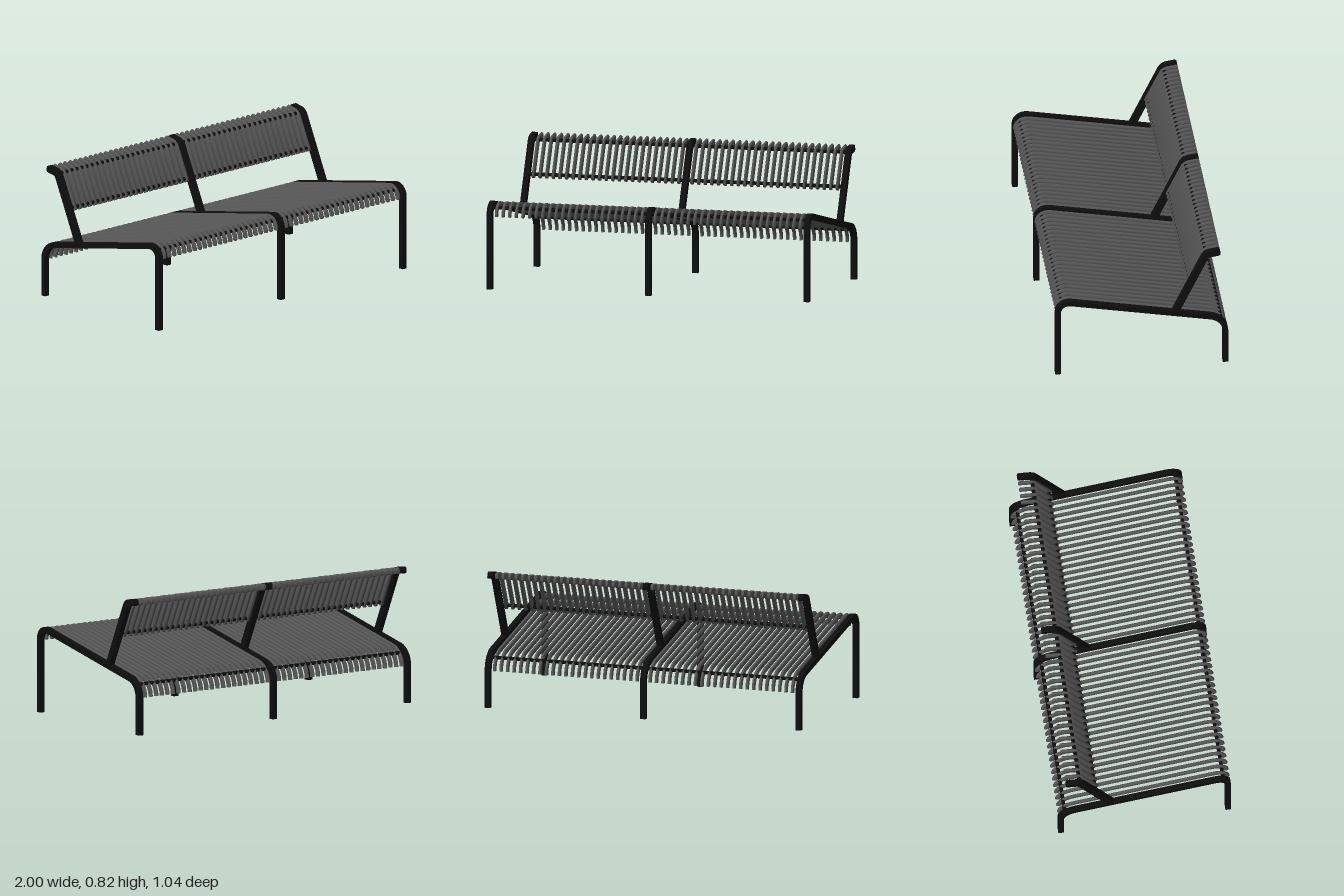
import * as THREE from 'three';
import { toCreasedNormals } from 'three/addons/utils/BufferGeometryUtils.js';

const BAY = 0.983;            // distance between frames
const SLATS = 23;             // slats in each bay
const TUBE = 0.033;           // frame tube width
const POST = 0.041;           // backrest post depth
const FRONT = 0.503, REAR = -0.503;

// Rounds the inner corners of a side-view polyline of [z, y, radius] points.
function filletPath(corners, steps = 8) {
  const out = [];
  corners.forEach(([z, y, r], i) => {
    const p = new THREE.Vector2(z, y);
    if (!r) { out.push(p); return; }
    const a = new THREE.Vector2(...corners[i - 1].slice(0, 2)).sub(p).normalize();
    const b = new THREE.Vector2(...corners[i + 1].slice(0, 2)).sub(p).normalize();
    const half = Math.acos(a.dot(b)) / 2;
    const centre = a.clone().add(b).normalize().multiplyScalar(r / Math.sin(half)).add(p);
    const start = a.multiplyScalar(r / Math.tan(half)).add(p).sub(centre);
    const end = b.multiplyScalar(r / Math.tan(half)).add(p).sub(centre);
    const turn = Math.atan2(start.cross(end), start.dot(end));
    for (let k = 0; k <= steps; k++) {
      out.push(start.clone().rotateAround(new THREE.Vector2(), turn * k / steps).add(centre));
    }
  });
  return out;
}

// Sweeps a closed [x, depth] section along a side-view path and caps both ends.
// A rounded end shrinks the depth over the last short step.
function sweep(path, section, { roundStart = 0, roundEnd = 0 } = {}) {
  const pts = path.map((p) => ({ p, s: 1 }));
  const inset = (from, to, d) => from.clone().add(to.clone().sub(from).setLength(d));
  if (roundStart) {
    pts[0].s = 0.6;
    pts.splice(1, 0, { p: inset(path[0], path[1], roundStart), s: 1 });
  }
  if (roundEnd) {
    const n = path.length;
    pts[pts.length - 1].s = 0.6;
    pts.splice(pts.length - 1, 0, { p: inset(path[n - 1], path[n - 2], roundEnd), s: 1 });
  }
  const m = section.length, pos = [], index = [];
  pts.forEach(({ p, s }, i) => {
    const t = pts[Math.min(i + 1, pts.length - 1)].p.clone().sub(pts[Math.max(i - 1, 0)].p).normalize();
    section.forEach(([x, d]) => pos.push(x, p.y + t.x * d * s, p.x - t.y * d * s));
  });
  for (let i = 0; i < pts.length - 1; i++) {
    for (let j = 0; j < m; j++) {
      const a = i * m + j, b = i * m + (j + 1) % m;
      index.push(a, b, a + m, b, b + m, a + m);
    }
  }
  const last = (pts.length - 1) * m;
  for (let j = 1; j < m - 1; j++) {
    index.push(0, j + 1, j, last, last + j, last + j + 1);
  }
  const geo = new THREE.BufferGeometry();
  geo.setAttribute('position', new THREE.Float32BufferAttribute(pos, 3));
  geo.setIndex(index);
  return toCreasedNormals(geo, 1.0);
}

// Section outlines, counter-clockwise so that the swept walls face outwards.
function boxSection(w, d) {
  return [[-w / 2, -d / 2], [w / 2, -d / 2], [w / 2, d / 2], [-w / 2, d / 2]];
}
// Flat bar with half-round edges
function barSection(w, d, n = 6) {
  const edge = (sign) => Array.from({ length: n + 1 }, (_, i) => {
    const a = i / n * Math.PI;
    return [sign * Math.cos(a) * w / 2, sign * (Math.sin(a) * w / 2 + (d - w) / 2)];
  });
  return [...edge(1), ...edge(-1)];
}

// Side profile of the seat, with chosen heights for its front and rear ends.
const seatPath = (frontY, rearY) => filletPath([
  [FRONT, frontY], [FRONT, 0.52, 0.063], [REAR, 0.314, 0.11], [REAR, rearY],
]);

// Side profile of the backrest, with its rolled top.
const backPath = (z, y) => filletPath([[z, y], [-0.387, 0.784, 0.045], [-0.472, 0.797]]);

export function createModel() {
  const model = new THREE.Group();
  const dark = new THREE.MeshStandardMaterial({ color: 0x0e0e0e });
  const grey = new THREE.MeshStandardMaterial({ color: 0x555555 });

  function add(name, geo, mat, x = 0, y = 0, z = 0, parent = model) {
    const mesh = new THREE.Mesh(geo, mat);
    mesh.name = name;
    mesh.position.set(x, y, z);
    parent.add(mesh);
  }

  // Three bent tube frames: legs with seat rail, and backrest post
  const legGeo = sweep(seatPath(0, 0), boxSection(TUBE, TUBE));
  const postGeo = sweep(backPath(-0.197, 0.375), boxSection(TUBE, POST), { roundEnd: 0.01 });
  for (const x of [-BAY, 0, BAY]) {
    const frame = new THREE.Group();
    frame.name = 'frame';
    frame.position.x = x;
    add('legsAndSeatRail', legGeo, dark, 0, 0, 0, frame);
    add('backrestPost', postGeo, dark, 0, 0, 0, frame);
    model.add(frame);
  }

  // Cross rods that carry the slats
  const rodGeo = new THREE.CylinderGeometry(0.011, 0.011, BAY * 2, 12).rotateZ(Math.PI / 2);
  add('frontSeatRod', rodGeo, dark, 0, 0.487, 0.476);
  add('rearSeatRod', rodGeo, dark, 0, 0.302, -0.478);
  add('lowerBackrestRod', rodGeo, dark, 0, 0.585, -0.293);
  add('upperBackrestRod', rodGeo, dark, 0, 0.78, -0.389);

  // Narrow slats filling both bays
  const ends = { roundStart: 0.006, roundEnd: 0.006 };
  const seatSlatGeo = sweep(seatPath(0.435, 0.232), barSection(0.017, TUBE), ends);
  const backSlatGeo = sweep(backPath(-0.284, 0.566), barSection(0.017, POST), ends);
  const seat = new THREE.Group();
  seat.name = 'seatSlats';
  const back = new THREE.Group();
  back.name = 'backrestSlats';
  model.add(seat, back);
  for (const side of [-1, 1]) {
    for (let i = 1; i <= SLATS; i++) {
      const x = side * BAY * i / (SLATS + 1);
      add('seatSlat', seatSlatGeo, grey, x, 0, 0, seat);
      add('backrestSlat', backSlatGeo, grey, x, 0, 0, back);
    }
  }
  return model;
}
